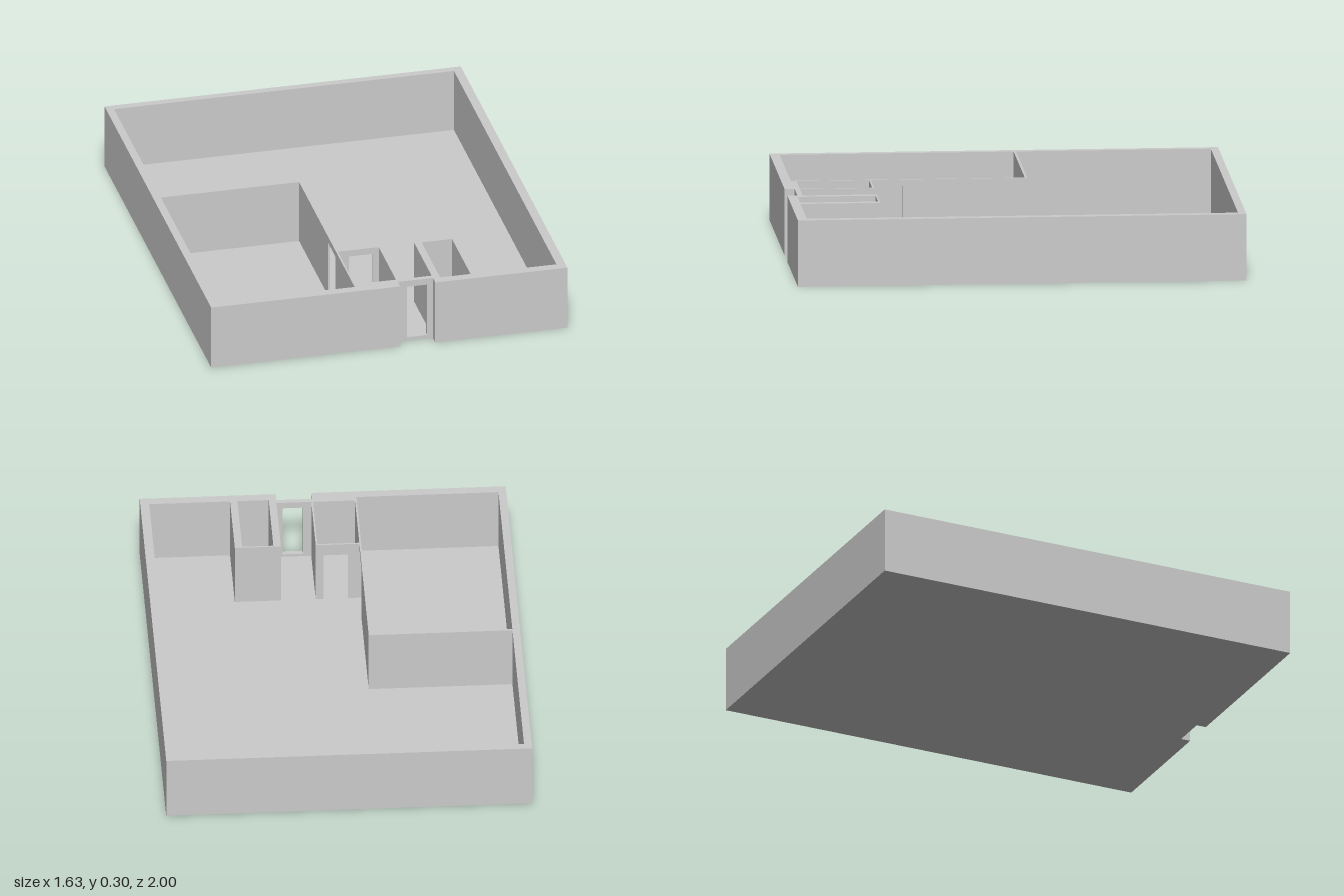
import * as THREE from 'three';

const H = 0.3;        // wall height
const FLOOR = 0.005;  // slab thickness
const DOOR = 0.27;    // top of the door openings
const material = new THREE.MeshStandardMaterial({ color: 0xcccccc });

export function createModel() {
  const model = new THREE.Group();

  // Box given by its limits on each axis
  function block(name, x0, x1, z0, z1, y0 = 0, y1 = H, parent = model) {
    const mesh = new THREE.Mesh(new THREE.BoxGeometry(x1 - x0, y1 - y0, z1 - z0), material);
    mesh.position.set((x0 + x1) / 2, (y0 + y1) / 2, (z0 + z1) / 2);
    mesh.name = name;
    parent.add(mesh);
  }

  // Wall along x with a doorway between d0 and d1
  function doorWall(name, x0, x1, z0, z1, d0, d1, sill) {
    const wall = new THREE.Group();
    wall.name = name;
    block('rightPost', x0, d0, z0, z1, 0, H, wall);
    block('leftPost', d1, x1, z0, z1, 0, H, wall);
    block('lintel', d0, d1, z0, z1, DOOR, H, wall);
    block('sill', d0, d1, z0, z1, 0, sill, wall);
    model.add(wall);
  }

  // Floor slab, notched at the recessed entrance
  const plan = new THREE.Shape([
    [-0.815, 1], [-0.815, -1], [0.815, -1], [0.815, 1],
    [0.21, 1], [0.21, 0.955], [0.05, 0.955], [0.05, 1],
  ].map(([x, z]) => new THREE.Vector2(x, -z)));
  const slab = new THREE.ExtrudeGeometry(plan, { depth: FLOOR, bevelEnabled: false });
  slab.rotateX(-Math.PI / 2);
  const floor = new THREE.Mesh(slab, material);
  floor.name = 'floor';
  model.add(floor);

  // Outer walls
  block('rightOuterWall', -0.815, -0.78, -1, 1);
  block('leftOuterWall', 0.775, 0.815, -1, 1);
  block('backOuterWall', -0.78, 0.775, -1, -0.965);
  block('frontOuterWallRight', -0.78, -0.14, 0.957, 1);
  block('frontOuterWallCloset', -0.14, 0.05, 0.932, 1);
  block('frontOuterWallLeft', 0.21, 0.775, 0.957, 1);

  // Recessed entrance
  doorWall('entranceWall', 0.05, 0.21, 0.932, 0.955, 0.092, 0.184, 0.018);

  // Large side room, with a doorway in its inner wall
  block('roomBackWall', -0.78, -0.14, -0.097, -0.086);
  block('roomSideWall', -0.148, -0.14, -0.086, 0.46);
  block('roomDoorLintel', -0.148, -0.14, 0.46, 0.6, DOOR, H);
  block('roomSideWallFront', -0.148, -0.14, 0.6, 0.957);

  // Small room right of the entrance passage
  doorWall('smallRoomBackWall', -0.14, 0.055, 0.601, 0.609, -0.09, 0.02, FLOOR);
  block('smallRoomSideWall', 0.047, 0.055, 0.609, 0.932);

  // Closed shaft left of the entrance passage
  block('shaftRightWall', 0.21, 0.243, 0.601, 0.957);
  block('shaftLeftWall', 0.382, 0.415, 0.601, 0.957);
  block('shaftBackWall', 0.243, 0.382, 0.601, 0.609);

  return model;
}
